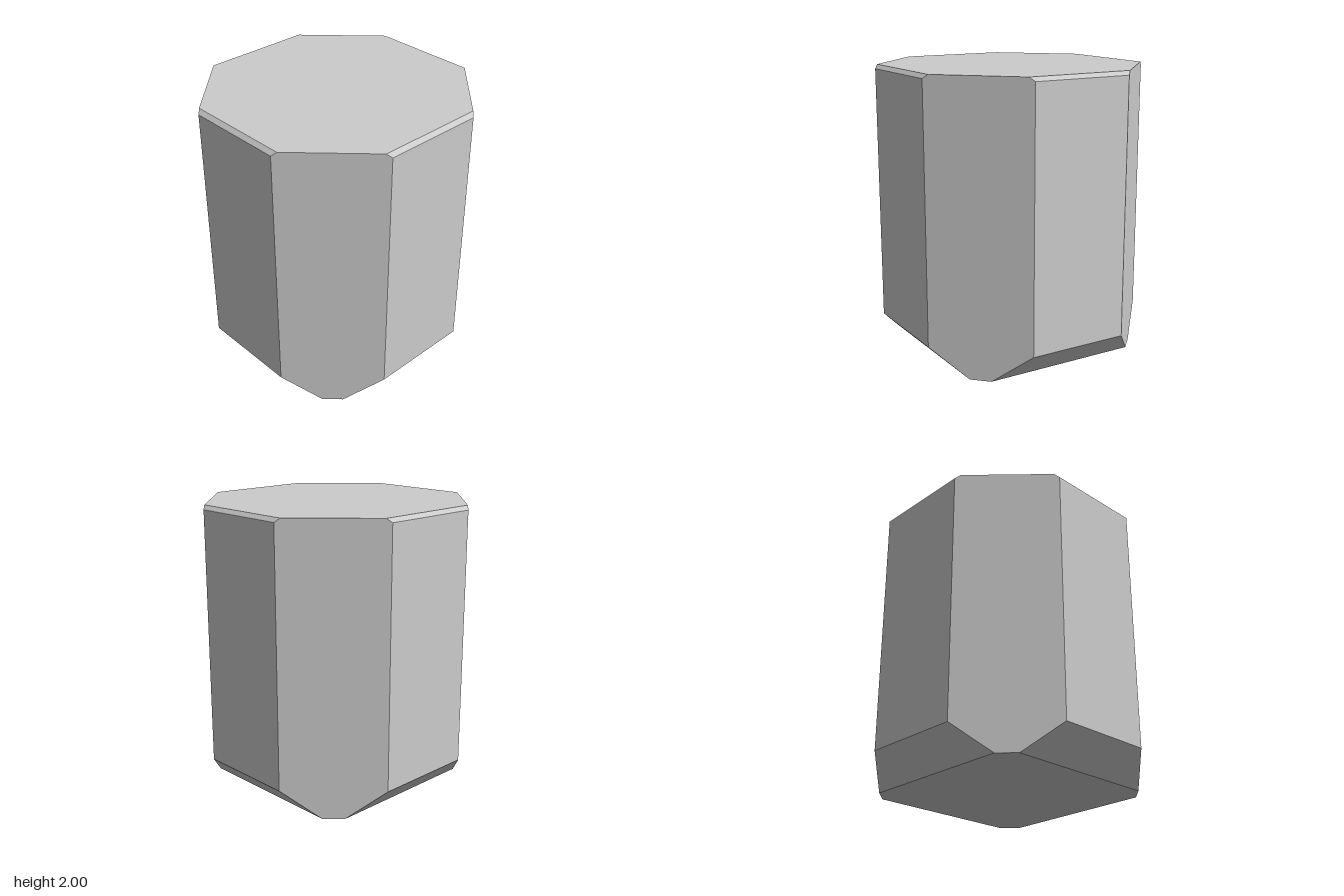
import * as THREE from 'three';
import { ConvexGeometry } from 'three/addons/geometries/ConvexGeometry.js';

const HALF_X = 0.86, HALF_Z = 0.87; // half width and half depth
const DIAGONAL = 1.225;             // |x| + |z| on the four diagonal sides

// Eight corners at one height; the four straight sides move in by `inset`
// while the diagonal sides stay upright.
function octagon(y, inset) {
  const x = HALF_X - inset, z = HALF_Z - inset;
  const points = [];
  for (const sx of [-1, 1]) {
    for (const sz of [-1, 1]) {
      points.push(new THREE.Vector3(sx * x, y, sz * (DIAGONAL - x)));
      points.push(new THREE.Vector3(sx * (DIAGONAL - z), y, sz * z));
    }
  }
  return points;
}

export function createModel() {
  const group = new THREE.Group();
  group.name = 'octagonalBlock';

  // Prism with a wide bevel at the base and a thin one at the top
  const body = new THREE.Mesh(
    new ConvexGeometry([
      ...octagon(0, 0.2),
      ...octagon(0.2, 0),
      ...octagon(1.973, 0),
      ...octagon(2, 0.027),
    ]),
    new THREE.MeshStandardMaterial({ color: 0xcccccc, flatShading: true })
  );
  body.name = 'bevelledBody';
  group.add(body);
  return group;
}
